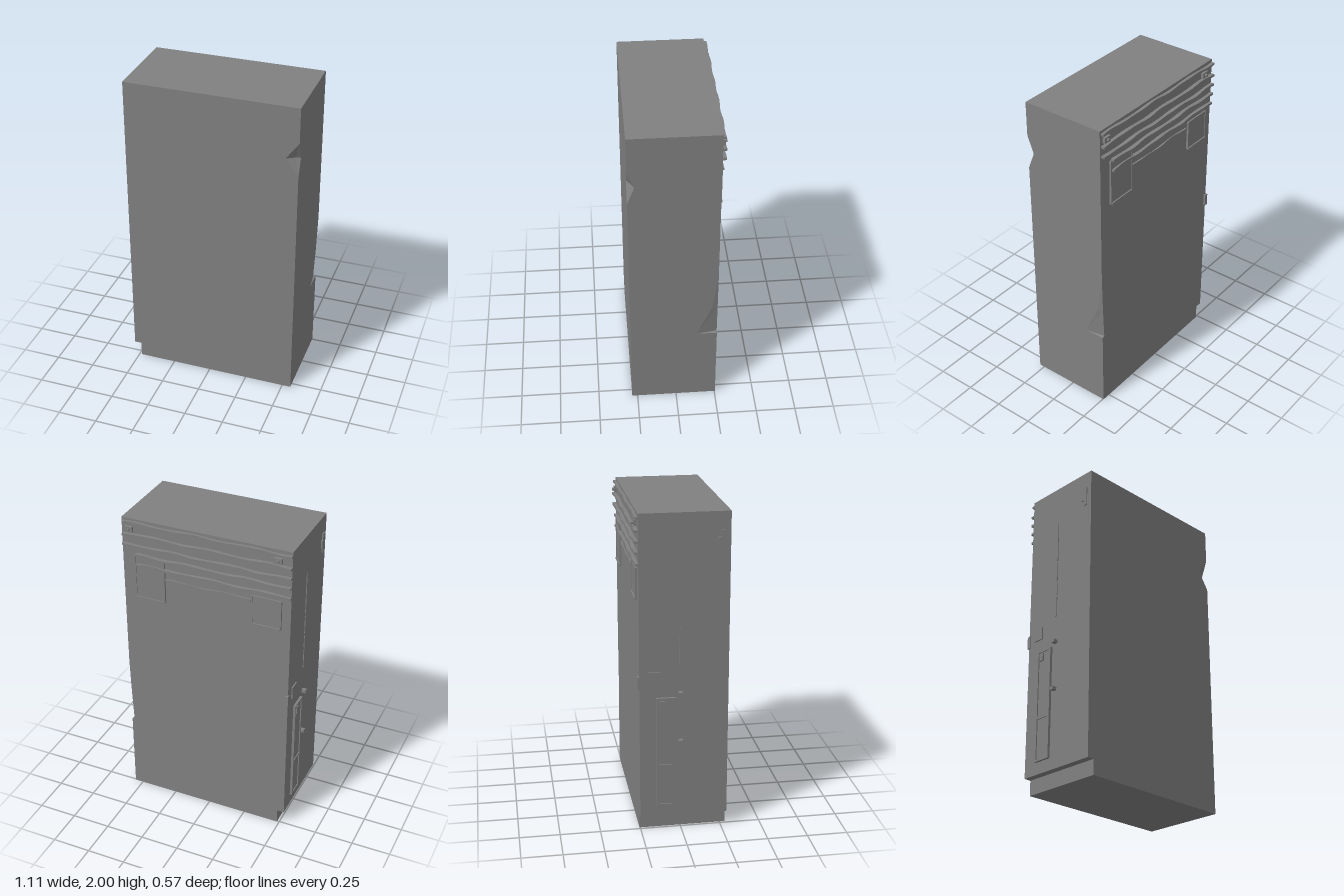
import * as THREE from 'three';

const L = -0.53, R = 0.555, F = 0.285, B = -0.255;

// Cabinet shell: stacked cross-sections with a stepped base and two dented corners
function shellGeometry() {
  // [y, left edge, front dent amount, rear dent depth, rear dent reach along the side]
  const rows = [
    [0, -0.485, 0, 0, 0.1], [0.095, -0.485, 0, 0, 0.1], [0.095, L, 0, 0, 0.1],
    [0.52, L, 0, 0, 0.125], [0.527, L, 0, 0.016, 0.125], [0.73, L, 0, 0.007, 0.035],
    [0.98, L, 0, 0, 0.02], [1.56, L, 0, 0, 0.02], [1.67, L, 1, 0, 0.02],
    [1.78, L, 0, 0, 0.02], [2, L, 0, 0, 0.02],
  ];
  const rings = rows.map(([y, left, d, r, reach]) => [
    [left, F], [R - 0.08 * d, F], [R - 0.03 * d, F - 0.03 * d], [R, F - 0.043 * d],
    [R, B + reach], [R - r, B], [left, B],
  ].map(([x, z]) => new THREE.Vector3(x, y, z)));

  const pos = [];
  const tri = (a, b, c) => {
    const area = b.clone().sub(a).cross(c.clone().sub(a)).length();
    if (area > 1e-8) for (const p of [a, b, c]) pos.push(p.x, p.y, p.z);
  };
  const n = rings[0].length;
  for (let k = 0; k + 1 < rings.length; k++) {
    for (let i = 0; i < n; i++) {
      const j = (i + 1) % n, lo = rings[k], hi = rings[k + 1];
      tri(lo[i], lo[j], hi[j]);
      tri(lo[i], hi[j], hi[i]);
    }
  }
  const bottom = rings[0], top = rings[rings.length - 1];
  for (let i = 1; i + 1 < n; i++) {
    tri(top[0], top[i], top[i + 1]);
    tri(bottom[0], bottom[i + 1], bottom[i]);
  }
  const g = new THREE.BufferGeometry();
  g.setAttribute('position', new THREE.Float32BufferAttribute(pos, 3));
  g.computeVertexNormals();
  return g;
}

export function createModel() {
  const model = new THREE.Group();
  const grey = new THREE.MeshStandardMaterial({ color: 0x808080 });
  grey.name = 'plainGrey';

  const add = (name, geometry) => {
    const m = new THREE.Mesh(geometry, grey);
    m.name = name;
    model.add(m);
    return m;
  };
  // Box given by its extents
  const block = (name, x0, x1, y0, y1, z0, z1) => {
    const g = new THREE.BoxGeometry(x1 - x0, y1 - y0, z1 - z0);
    g.translate((x0 + x1) / 2, (y0 + y1) / 2, (z0 + z1) / 2);
    return add(name, g);
  };

  add('cabinetShell', shellGeometry());

  // Slightly warped slats across the upper back
  const slats = [
    [1.975, -0.53, 0.545, 0.018], [1.9, -0.53, 0.545, 0.022], [1.83, -0.53, 0.545, 0.022],
    [1.77, -0.53, 0.46, 0.022], [1.705, -0.53, 0.46, 0.02], [1.635, -0.28, 0.28, 0.008],
  ];
  slats.forEach(([y, x0, x1, out], k) => {
    const g = new THREE.BoxGeometry(x1 - x0, 0.014, out, 28, 1, 1).toNonIndexed();
    g.translate((x0 + x1) / 2, y, B - out / 2);
    const p = g.attributes.position;
    for (let i = 0; i < p.count; i++) {
      const x = p.getX(i);
      p.setY(i, p.getY(i) + 0.004 * Math.sin(17 * x + k * 2));
      if (p.getZ(i) < B - 0.001) p.setZ(i, p.getZ(i) + 0.003 * Math.sin(29 * x + k));
    }
    g.computeVertexNormals();
    add('backSlat', g);
  });

  // Two hatch plates with raised frames below the slats
  for (const [x0, x1, y0, y1] of [[0.28, 0.47, 1.48, 1.77], [-0.47, -0.29, 1.48, 1.67]]) {
    block('hatchPlate', x0, x1, y0, y1, B - 0.009, B);
    block('hatchLowerRim', x0, x1, y0 - 0.004, y0 + 0.008, B - 0.017, B);
    for (const x of [x0, x1]) block('hatchSideRim', x - 0.004, x + 0.004, y0, y1, B - 0.013, B);
  }

  // Corner brackets with bolts at the top of the back
  for (const x of [0.505, -0.445]) {
    block('bracket', x - 0.025, x + 0.025, 1.915, 1.95, B - 0.016, B);
    const bolt = add('bracketBolt', new THREE.CylinderGeometry(0.01, 0.01, 0.028, 8));
    bolt.rotation.x = Math.PI / 2;
    bolt.position.set(x, 1.932, B - 0.014);
  }

  // Long service panel on the right side, with frame and cross bar
  block('servicePanel', L - 0.009, L, 0.17, 0.88, -0.155, -0.04);
  for (const z of [-0.15, -0.045]) block('panelFrameSide', L - 0.016, L, 0.17, 0.88, z - 0.006, z + 0.006);
  for (const y of [0.176, 0.44, 0.874]) block('panelFrameBar', L - 0.015, L, y - 0.006, y + 0.006, -0.155, -0.04);
  block('panelLatch', L - 0.018, L, 0.81, 0.86, -0.135, -0.105);

  // Hinge knobs beside the panel
  for (const y of [0.905, 0.595]) {
    block('hingeKnob', L - 0.028, L, y - 0.01, y + 0.01, -0.02, 0.005);
  }

  // Square socket, corner clip and upper handle
  block('sideSocket', L - 0.008, L, 0.965, 1.045, -0.2, -0.13);
  block('cornerClip', L - 0.005, L + 0.02, 0.94, 1.02, B - 0.012, B + 0.015);
  block('upperHandle', L - 0.007, L, 1.765, 1.89, 0.225, 0.25);
  block('handleGrip', L - 0.01, L, 1.8, 1.85, 0.21, 0.225);

  // Broken seam strip down the right side
  for (const [y0, y1] of [[1.47, 1.74], [1.33, 1.45], [1.23, 1.31], [1.08, 1.21]]) {
    block('seamStrip', L - 0.005, L, y0, y1, -0.016, -0.006);
  }

  return model;
}
